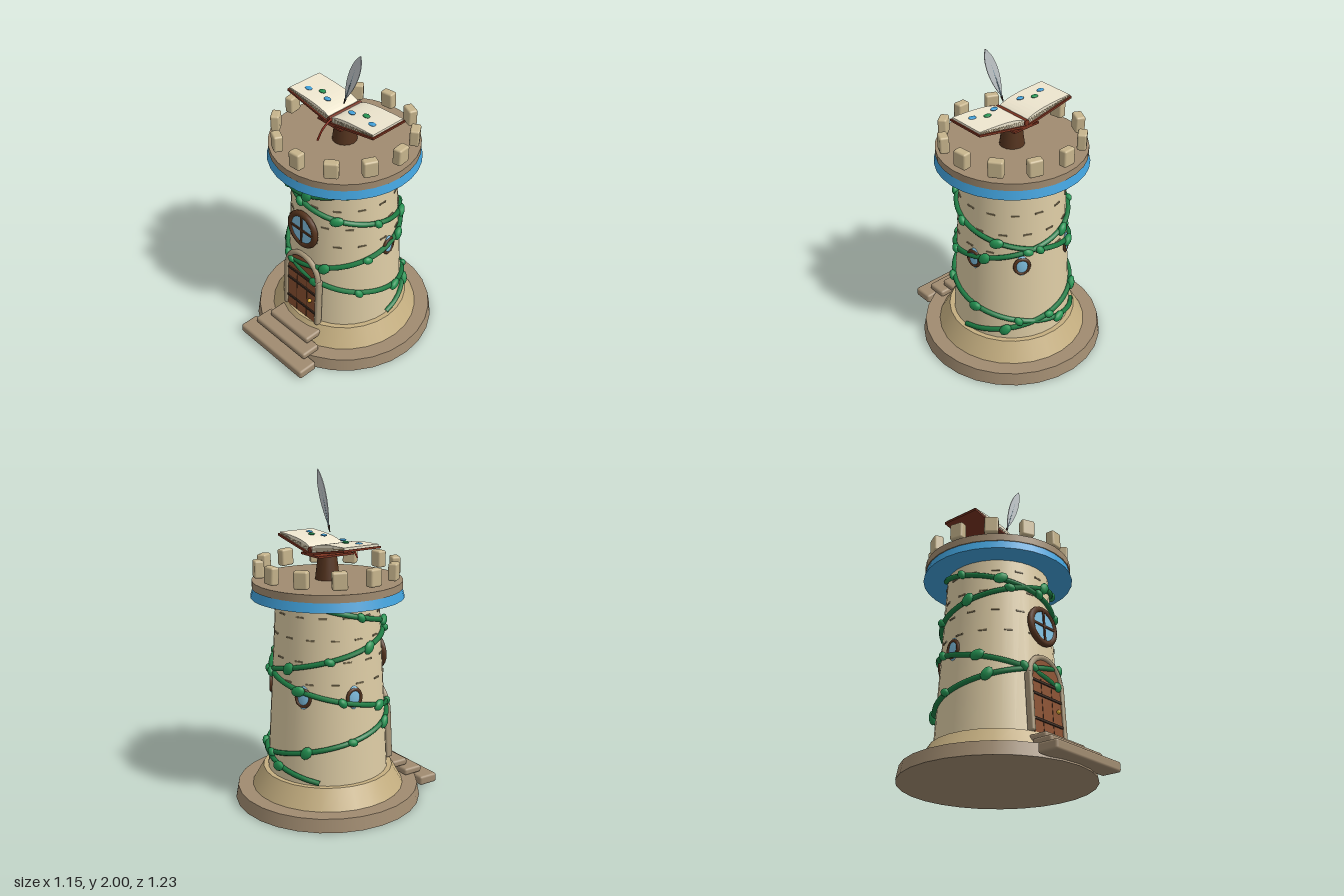
import * as THREE from 'three';
import { RoundedBoxGeometry } from 'three/addons/geometries/RoundedBoxGeometry.js';

const COLORS = {
  wall: 0xdccba4, base: 0xa08b70, plinth: 0xc4ae80, merlon: 0xc6b48c, blue: 0x409fd8,
  wood: 0x8a5030, darkWood: 0x54331e, frame: 0xa8977a, glass: 0x7fbfe0, gold: 0xd8a830,
  vine: 0x1c7a42, leaf: 0x239352, cover: 0x7a3320, page: 0xeee6cf, ribbon: 0x99301f,
  feather: 0xc3c9cc, quillShaft: 0x6f8f9f, joint: 0x8f8060, iron: 0x3a2a20,
};
const mats = {};
for (const k in COLORS) mats[k] = new THREE.MeshStandardMaterial({ color: COLORS[k] });
mats.feather.side = THREE.DoubleSide;

function add(parent, name, geo, mat, x = 0, y = 0, z = 0) {
  const m = new THREE.Mesh(geo, mats[mat]);
  m.name = name;
  m.position.set(x, y, z);
  parent.add(m);
  return m;
}
function group(parent, name, x = 0, y = 0, z = 0) {
  const g = new THREE.Group();
  g.name = name;
  g.position.set(x, y, z);
  parent.add(g);
  return g;
}
let seed = 7;
const rnd = () => (seed = (seed * 16807) % 2147483647) / 2147483647 - 0.5;
const box = (w, h, d) => new THREE.BoxGeometry(w, h, d);
const cyl = (top, bottom, h, n = 28) => new THREE.CylinderGeometry(top, bottom, h, n);
const wallRadius = y => 0.37 - 0.056 * (y - 0.2);
const LEAN = -0.056;

function buildTower(t) {
  add(t, 'baseDisc', cyl(0.56, 0.575, 0.08), 'base', 0, 0.04);
  add(t, 'plinth', cyl(0.4, 0.468, 0.12), 'plinth', 0, 0.14);
  add(t, 'wall', cyl(0.31, 0.37, 1.08, 32), 'wall', 0, 0.735);
  add(t, 'blueBand', cyl(0.444, 0.46, 0.055, 32), 'blue', 0, 1.298);
  add(t, 'deck', cyl(0.45, 0.45, 0.045, 32), 'base', 0, 1.348);

  // short mortar dashes in rows around the wall
  [1.2, 1.07, 0.94, 0.81].forEach((y, row) => {
    for (let i = 0; i < 14; i++) {
      const a = (i + (row % 2) / 2) / 14 * Math.PI * 2;
      const r = wallRadius(y) - 0.002;
      const m = add(t, 'mortarDash', box(0.05, 0.009, 0.012), 'joint', Math.sin(a) * r, y, Math.cos(a) * r);
      m.rotation.y = a;
    }
  });

  // battlement stones, slightly uneven
  for (let i = 0; i < 12; i++) {
    const a = 0.1 + i * Math.PI / 6;
    const geo = new RoundedBoxGeometry(0.086 + rnd() * 0.01, 0.104, 0.056 + rnd() * 0.008, 2, 0.012);
    const m = add(t, 'merlon', geo, 'merlon', Math.sin(a) * 0.41, 1.443, Math.cos(a) * 0.41);
    m.rotation.set(rnd() * 0.08, a + rnd() * 0.16, rnd() * 0.08);
  }

  // front steps
  [[0.575, 0.06, 0.13, 0.04, 0.585], [0.46, 0.045, 0.13, 0.1, 0.505], [0.355, 0.045, 0.13, 0.147, 0.43]]
    .forEach(([w, h, d, y, z]) => add(t, 'step', new RoundedBoxGeometry(w, h, d, 2, 0.015), 'base', 0, y, z));
}

function buildDoor(t) {
  const door = group(t, 'door', 0, 0.2, 0.37);
  door.rotation.x = LEAN;
  const s = new THREE.Shape();
  s.moveTo(-0.13, 0);
  s.lineTo(0.13, 0);
  s.lineTo(0.13, 0.33);
  s.absarc(0, 0.33, 0.13, 0, Math.PI);
  const panel = new THREE.ExtrudeGeometry(s, { depth: 0.05, bevelEnabled: false, curveSegments: 12 });
  add(door, 'doorPanel', panel, 'wood', 0, 0, -0.04);
  for (const y of [0.08, 0.23, 0.31]) add(door, 'doorBand', box(0.25, 0.014, 0.012), 'iron', 0, y, 0.012);
  for (const x of [-0.045, 0.045]) add(door, 'plankGap', box(0.004, 0.33, 0.006), 'darkWood', x, 0.165, 0.009);
  add(door, 'doorKnob', new THREE.SphereGeometry(0.013, 12, 8), 'gold', 0.085, 0.165, 0.022);
  for (const x of [-0.142, 0.142]) add(door, 'doorPost', new RoundedBoxGeometry(0.03, 0.35, 0.045, 2, 0.01), 'frame', x, 0.175, 0);
  add(door, 'doorArch', new THREE.TorusGeometry(0.138, 0.018, 8, 20, Math.PI), 'frame', 0, 0.335, 0.005);
}

function buildWindows(t) {
  // large round window above the door
  const w = group(t, 'roundWindow', 0, 0.875, 0.345);
  w.rotation.x = LEAN;
  add(w, 'windowGlass', cyl(0.1, 0.1, 0.02, 24), 'glass').rotation.x = Math.PI / 2;
  add(w, 'windowRing', new THREE.TorusGeometry(0.106, 0.02, 8, 24), 'darkWood');
  add(w, 'windowBar', box(0.2, 0.014, 0.014), 'darkWood', 0, 0, 0.01);
  add(w, 'windowBar', box(0.014, 0.2, 0.014), 'darkWood', 0, 0, 0.01);

  // small oval windows at the sides and back
  for (const deg of [97, 148, 212, 263]) {
    const a = deg * Math.PI / 180, r = wallRadius(0.73);
    const g = group(t, 'smallWindow', Math.sin(a) * r, 0.73, Math.cos(a) * r);
    g.rotation.y = a;
    const glass = add(g, 'smallGlass', new THREE.SphereGeometry(1, 14, 10), 'glass');
    glass.scale.set(0.038, 0.072, 0.014);
    add(g, 'smallRing', new THREE.TorusGeometry(0.044, 0.01, 8, 18), 'darkWood', 0, 0, 0.004).scale.y = 1.15;
  }
}

// two vines winding in opposite directions, two turns each
function buildVine(t, start, dir) {
  const g = group(t, 'vine');
  const at = (k, out) => {
    const a = start + dir * k * Math.PI * 4, y = 0.22 + 1.04 * k, r = wallRadius(y) + out;
    return new THREE.Vector3(Math.sin(a) * r, y, Math.cos(a) * r);
  };
  const pts = [];
  for (let i = 0; i <= 48; i++) pts.push(at(i / 48, 0.01));
  add(g, 'vineStem', new THREE.TubeGeometry(new THREE.CatmullRomCurve3(pts), 160, 0.016, 7), 'vine');
  for (let i = 1; i < 17; i++) {
    const k = i / 17, p = at(k, 0.022);
    const leaf = add(g, 'vineLeaf', new THREE.IcosahedronGeometry(1, 1), 'leaf', p.x, p.y, p.z);
    const big = i % 2 ? 1 : 0.75;
    leaf.scale.set(0.045 * big, 0.032 * big, 0.022);
    leaf.rotation.order = 'YXZ';
    leaf.rotation.set(0, start + dir * k * Math.PI * 4, dir * 0.3 + (i % 2 ? 0.6 : -0.6));
  }
}

function buildBook(t) {
  add(t, 'pedestal', cyl(0.055, 0.075, 0.16, 16), 'darkWood', 0, 1.45);
  const book = group(t, 'openBook');
  add(book, 'spineBase', box(0.19, 0.012, 0.25), 'cover', 0, 1.523);
  add(book, 'spine', cyl(0.018, 0.018, 0.252, 12), 'cover', 0, 1.555).rotation.x = Math.PI / 2;

  const cover = new THREE.Shape();
  cover.moveTo(0, 1.525);
  cover.lineTo(0.352, 1.592);
  cover.lineTo(0.352, 1.605);
  cover.lineTo(0, 1.538);
  const pages = new THREE.Shape();
  pages.moveTo(0.012, 1.54);
  pages.lineTo(0.342, 1.602);
  pages.lineTo(0.342, 1.616);
  pages.bezierCurveTo(0.22, 1.61, 0.08, 1.61, 0.012, 1.57);
  const slab = (s, d) => new THREE.ExtrudeGeometry(s, { depth: d, bevelEnabled: false, curveSegments: 12 }).translate(0, 0, -d / 2);

  for (const side of [1, -1]) {
    const half = group(book, 'bookHalf');
    half.rotation.y = side > 0 ? 0 : Math.PI;
    add(half, 'bookCover', slab(cover, 0.255), 'cover');
    add(half, 'pageBlock', slab(pages, 0.236), 'page');
    // page edges
    for (let i = 1; i < 5; i++) {
      const y0 = 1.54 + i * 0.007, y1 = 1.6 + i * 0.003;
      const line = add(half, 'pageEdge', box(0.32, 0.002, 0.238), 'joint', 0.178, (y0 + y1) / 2);
      line.rotation.z = Math.atan2(y1 - y0, 0.32);
    }
    // coloured spots on the page
    [[0.26, 0.042, 'blue'], [0.18, 0.006, 'leaf'], [0.1, 0.042, 'blue']].forEach(([x, z, c]) => {
      add(book, 'pageSpot', new THREE.SphereGeometry(1, 12, 8), c, x * side, 1.613, z).scale.set(0.025, 0.007, 0.018);
    });
  }
  const path = new THREE.CatmullRomCurve3([[0.012, 1.565, 0.11], [0.02, 1.56, 0.15], [0.02, 1.53, 0.195], [0.014, 1.47, 0.228]]
    .map(p => new THREE.Vector3(...p)));
  add(book, 'ribbon', new THREE.TubeGeometry(path, 20, 0.006, 6), 'ribbon');
}

function buildQuill(t) {
  const q = group(t, 'quill', 0.033, 1.64, 0.04);
  q.rotation.z = -0.33;
  const f = new THREE.Shape();
  f.moveTo(0, 0.04);
  f.bezierCurveTo(-0.035, 0.12, -0.055, 0.28, 0.005, 0.382);
  f.bezierCurveTo(0.055, 0.32, 0.045, 0.16, 0, 0.04);
  add(q, 'feather', new THREE.ExtrudeGeometry(f, { depth: 0.005, bevelEnabled: false, curveSegments: 16 }), 'feather', 0, 0, -0.0025);
  add(q, 'quillShaft', cyl(0.002, 0.005, 0.3, 8), 'quillShaft', 0, 0.175);
  add(q, 'nib', cyl(0.007, 0.003, 0.04, 8), 'iron', 0, 0.02);
}

export function createModel() {
  const model = new THREE.Group();
  model.name = 'storyTower';
  const t = group(model, 'tower', 0, 0, -0.04);
  buildTower(t);
  buildDoor(t);
  buildWindows(t);
  buildVine(t, Math.PI / 2, 1);
  buildVine(t, 4.0, -1);
  buildBook(t);
  buildQuill(t);
  return model;
}
